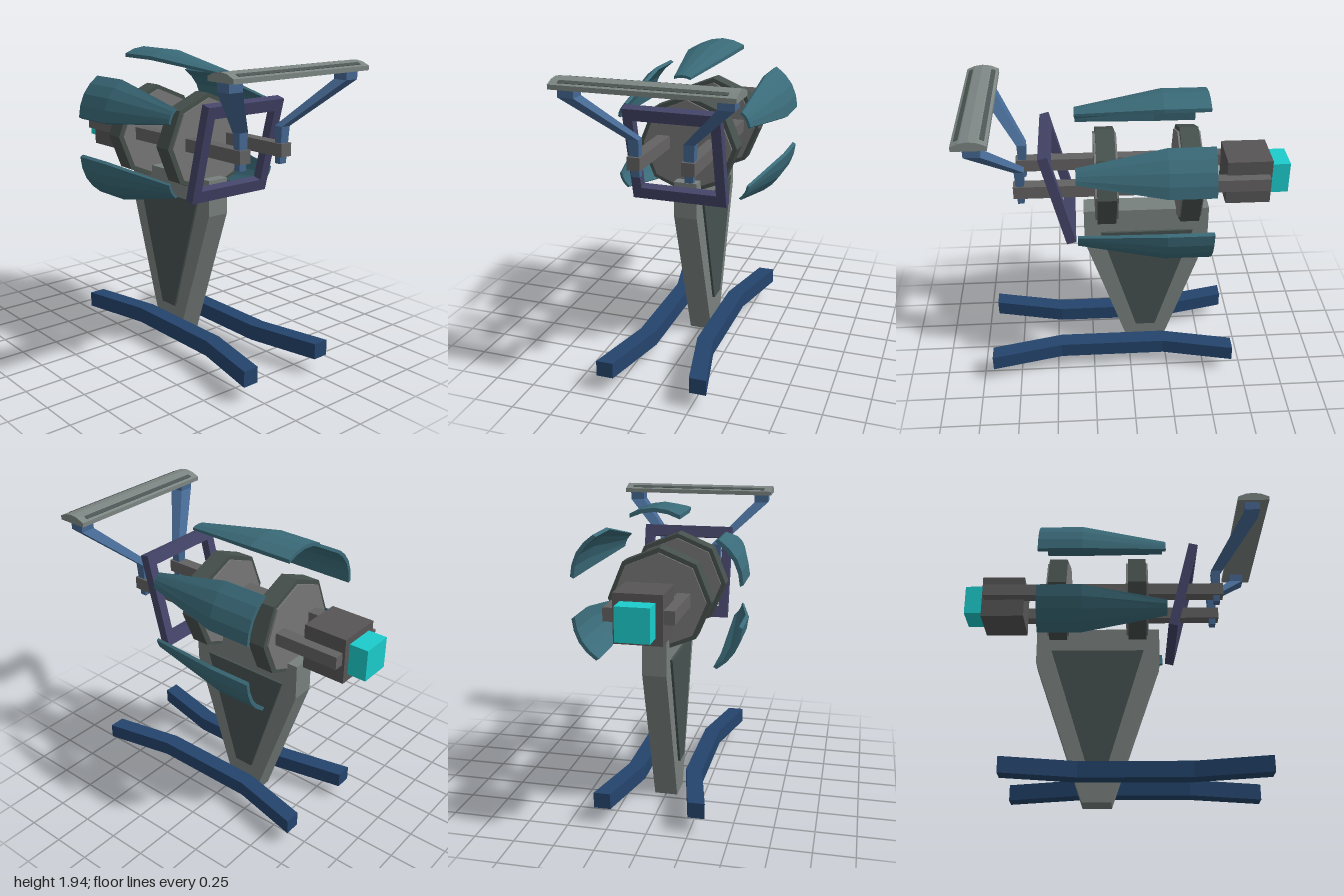
import * as THREE from 'three';

const mat = (color) => new THREE.MeshStandardMaterial({ color, flatShading: true });
const M = {
  glow: mat(0x1ccccc), engine: mat(0x575555), rail: mat(0x646262), disc: mat(0x777777),
  band: mat(0x46504c), fairing: mat(0x3a6a78), frame: mat(0x45456a), strut: mat(0x456892),
  wing: mat(0x7c8683), groove: mat(0x4c5553), pylon: mat(0x78807d), inset: mat(0x465150), skid: mat(0x24446c),
};

function add(parent, name, geometry, material, x = 0, y = 0, z = 0) {
  const mesh = new THREE.Mesh(geometry, material);
  mesh.name = name;
  mesh.position.set(x, y, z);
  parent.add(mesh);
  return mesh;
}

const box = (parent, name, material, size, pos) =>
  add(parent, name, new THREE.BoxGeometry(...size), material, ...pos);

// Skin a list of equal-length point loops and cap both ends.
// Each loop runs along one side and back along the other.
function loft(loops) {
  const n = loops[0].length, tris = [];
  const quad = (a, b, c, d) => tris.push([a, b, c], [a, c, d]);
  for (let s = 0; s < loops.length - 1; s++) {
    for (let i = 0; i < n; i++) {
      const j = (i + 1) % n;
      quad(loops[s][i], loops[s][j], loops[s + 1][j], loops[s + 1][i]);
    }
  }
  const first = loops[0], last = loops[loops.length - 1];
  for (let i = 0; i < n / 2 - 1; i++) {
    quad(first[n - 1 - i], first[n - 2 - i], first[i + 1], first[i]);
    quad(last[i], last[i + 1], last[n - 2 - i], last[n - 1 - i]);
  }
  // Turn the faces outward if the enclosed volume is negative
  const v = (p) => new THREE.Vector3(...p);
  const volume = tris.reduce((sum, [a, b, c]) => sum + v(a).dot(v(b).cross(v(c))), 0);
  if (volume < 0) tris.forEach((t) => t.reverse());
  const geometry = new THREE.BufferGeometry();
  geometry.setAttribute('position', new THREE.Float32BufferAttribute(tris.flat(2), 3));
  geometry.computeVertexNormals();
  return geometry;
}

// Polygon in the xy plane, extruded symmetrically along z
function slab(points, depth) {
  const shape = new THREE.Shape(points.map((p) => new THREE.Vector2(...p)));
  return new THREE.ExtrudeGeometry(shape, { depth, bevelEnabled: false }).translate(0, 0, -depth / 2);
}

// Thin curved panel section at x: half width w, edge height e, crown height c, thickness t
function panelLoop(x, w, e, c, t) {
  const mid = e + (c - e) * 0.72;
  const outer = [[-w, e], [-w * 0.52, mid], [0, c], [w * 0.52, mid], [w, e]];
  const inner = outer.map(([z, y]) => [z, y - t]).reverse();
  return [...outer, ...inner].map(([z, y]) => [x, y, z]);
}

export function createModel() {
  const model = new THREE.Group();
  model.name = 'skidCraft';
  const axisY = 1.38;

  // Engine block, glowing exhaust and the two long rails
  box(model, 'exhaust', M.glow, [0.13, 0.2, 0.2], [-0.935, 1.38, 0]);
  box(model, 'engine', M.engine, [0.28, 0.29, 0.285], [-0.74, 1.38, 0]);
  for (const s of [1, -1]) box(model, 'rail', M.rail, [1.575, 0.08, 0.08], [-0.077, 1.395, s * 0.165]);

  // Two octagonal bulkheads, each a disc inside a dark band
  for (const x of [-0.37, 0.147]) {
    const ring = new THREE.Group();
    ring.name = 'bulkhead';
    ring.position.set(x, axisY, 0.012);
    ring.rotation.z = Math.PI / 2;
    add(ring, 'bulkheadBand', new THREE.CylinderGeometry(0.317, 0.317, 0.117, 8), M.band);
    add(ring, 'bulkheadDisc', new THREE.CylinderGeometry(0.288, 0.288, 0.142, 8), M.disc);
    model.add(ring);
  }

  // Five tapering fairings set around the long axis, with the bottom one left open
  const panel = loft([
    panelLoop(-0.48, 0.148, 0.517, 0.555, 0.024),
    panelLoop(-0.2, 0.148, 0.517, 0.555, 0.024),
    panelLoop(0.33, 0.05, 0.455, 0.465, 0.016),
  ]);
  for (const k of [-2, -1, 0, 1, 2]) {
    add(model, 'fairing', panel, M.fairing, 0, axisY, 0).rotation.x = k * Math.PI / 3;
  }

  // Leaning square frame
  const frame = new THREE.Group();
  frame.name = 'frontFrame';
  frame.position.set(0.445, axisY, 0);
  frame.rotation.z = -0.245;
  for (const s of [1, -1]) {
    box(frame, 'frameBar', M.frame, [0.06, 0.075, 0.6], [0, s * 0.27, 0]);
    box(frame, 'framePost', M.frame, [0.06, 0.466, 0.06], [0, 0, s * 0.27]);
  }
  model.add(frame);

  // Struts that pass the rails and spread up to the wing: [x, y, z, width, depth]
  const strut = [
    [0.668, 1.31, 0.162, 0.04, 0.05],
    [0.668, 1.535, 0.168, 0.06, 0.066],
    [0.892, 1.81, 0.452, 0.095, 0.095],
    [0.892, 1.87, 0.452, 0.095, 0.095],
  ];
  for (const s of [1, -1]) {
    add(model, 'wingStrut', loft(strut.map(([x, y, z, w, d]) =>
      [[-1, -1], [1, -1], [1, 1], [-1, 1]].map(([a, b]) => [x + a * w / 2, y, s * z + b * d / 2]))), M.strut);
  }

  // Cross wing with a shallow crowned top and a dark groove on each slope
  add(model, 'wing', slab([[0.8, 1.865], [1, 1.865], [1, 1.892], [0.95, 1.913], [0.9, 1.92],
    [0.85, 1.913], [0.8, 1.892]], 1.05), M.wing);
  for (const s of [1, -1]) {
    const groove = box(model, 'wingGroove', M.groove, [0.028, 0.006, 0.95], [0.9 + s * 0.07, 1.904, 0]);
    groove.rotation.z = -s * 0.4;
  }

  // Tapering keel with a raised inset on both sides
  add(model, 'keel', slab([[-0.51, 1.163], [-0.51, 0.93], [-0.2, 0], [-0.02, 0], [0.29, 0.93],
    [0.29, 1.163]], 0.15), M.pylon);
  add(model, 'keelInset', slab([[-0.41, 1.005], [-0.175, 0.235], [-0.045, 0.235], [0.185, 1.005]], 0.18), M.inset);

  // Skids, bowed inward along the middle
  const path = [[-0.68, 0.295], [-0.22, 0.192], [0.47, 0.192], [0.93, 0.295]];
  for (const s of [1, -1]) {
    add(model, 'skid', loft(path.map(([x, z]) =>
      [[-1, -1], [1, -1], [1, 1], [-1, 1]].map(([a, b]) => [x, 0.154 + a * 0.05, s * z + b * 0.053]))), M.skid);
  }

  return model;
}
